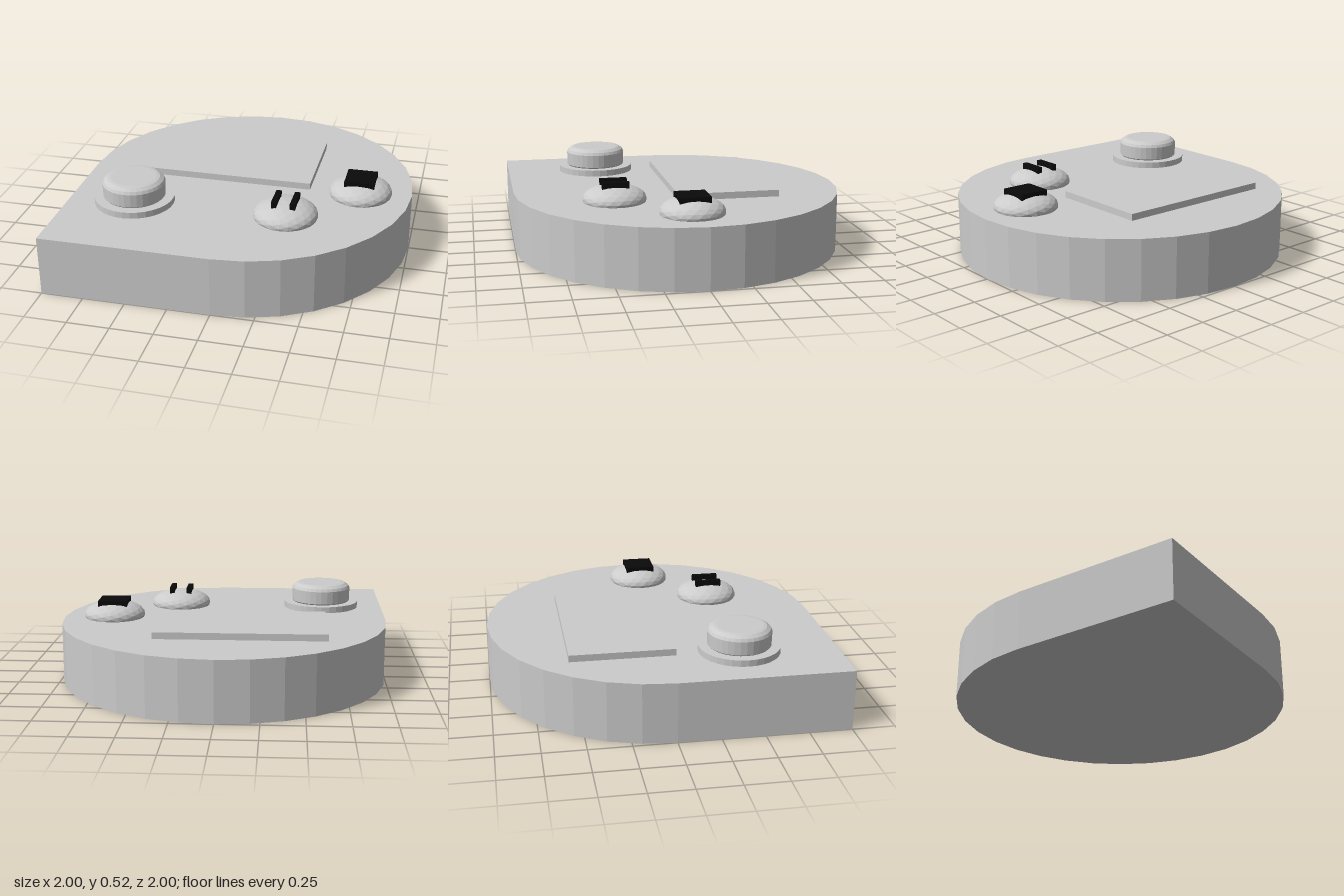
import * as THREE from 'three';

const grey = new THREE.MeshStandardMaterial({ color: 0xcccccc, flatShading: true });
const black = new THREE.MeshStandardMaterial({ color: 0x0a0a0a });
const DECK = 0.36; // height of the body's top face

function add(parent, name, geometry, x, y, z, material = grey) {
  const mesh = new THREE.Mesh(geometry, material);
  mesh.name = name;
  mesh.position.set(x, y, z);
  parent.add(mesh);
  return mesh;
}

// Round slab with one square corner at the front right
function bodyGeometry() {
  const points = [new THREE.Vector2(-1, -1)];
  for (let i = 0; i <= 24; i++) {
    const a = -Math.PI / 2 + (i * Math.PI) / 16;
    points.push(new THREE.Vector2(Math.cos(a), Math.sin(a)));
  }
  const geometry = new THREE.ExtrudeGeometry(new THREE.Shape(points), { depth: DECK, bevelEnabled: false });
  return geometry.rotateX(-Math.PI / 2);
}

// Flattened faceted dome carrying raised black marks: [x offset, width, depth, top]
function addButton(parent, name, x, z, marks) {
  const button = new THREE.Group();
  button.name = name;
  button.position.set(x, 0, z);
  add(button, name + 'Dome', new THREE.IcosahedronGeometry(0.19, 3), 0, 0.375, 0).scale.y = 0.085 / 0.19;
  for (const [dx, w, d, top] of marks) {
    add(button, name + 'Mark', new THREE.BoxGeometry(w, 0.06, d), dx, top - 0.03, 0, black);
  }
  parent.add(button);
}

export function createModel() {
  const model = new THREE.Group();
  model.name = 'controlPad';
  add(model, 'body', bodyGeometry(), 0, 0, 0);
  add(model, 'screen', new THREE.BoxGeometry(1.015, 0.04, 0.615), -0.122, DECK + 0.02, -0.25);

  // Knob on a thin round collar
  const knob = new THREE.Group();
  knob.name = 'knob';
  knob.position.set(-0.61, DECK, 0.427);
  add(knob, 'knobCollar', new THREE.CylinderGeometry(0.238, 0.238, 0.038, 32), 0, 0.019, 0);
  const profile = [[0.17, 0.03], [0.185, 0.045], [0.187, 0.125], [0.178, 0.142], [0.155, 0.157], [0.135, 0.16], [0, 0.16]];
  add(knob, 'knobCap', new THREE.LatheGeometry(profile.map(([r, y]) => new THREE.Vector2(r, y)), 32), 0, 0, 0);
  model.add(knob);

  addButton(model, 'stopButton', 0.692, 0.037, [[0, 0.18, 0.18, 0.473]]);
  addButton(model, 'pauseButton', 0.308, 0.425, [[-0.056, 0.031, 0.16, 0.484], [0.054, 0.031, 0.16, 0.484]]);
  return model;
}
